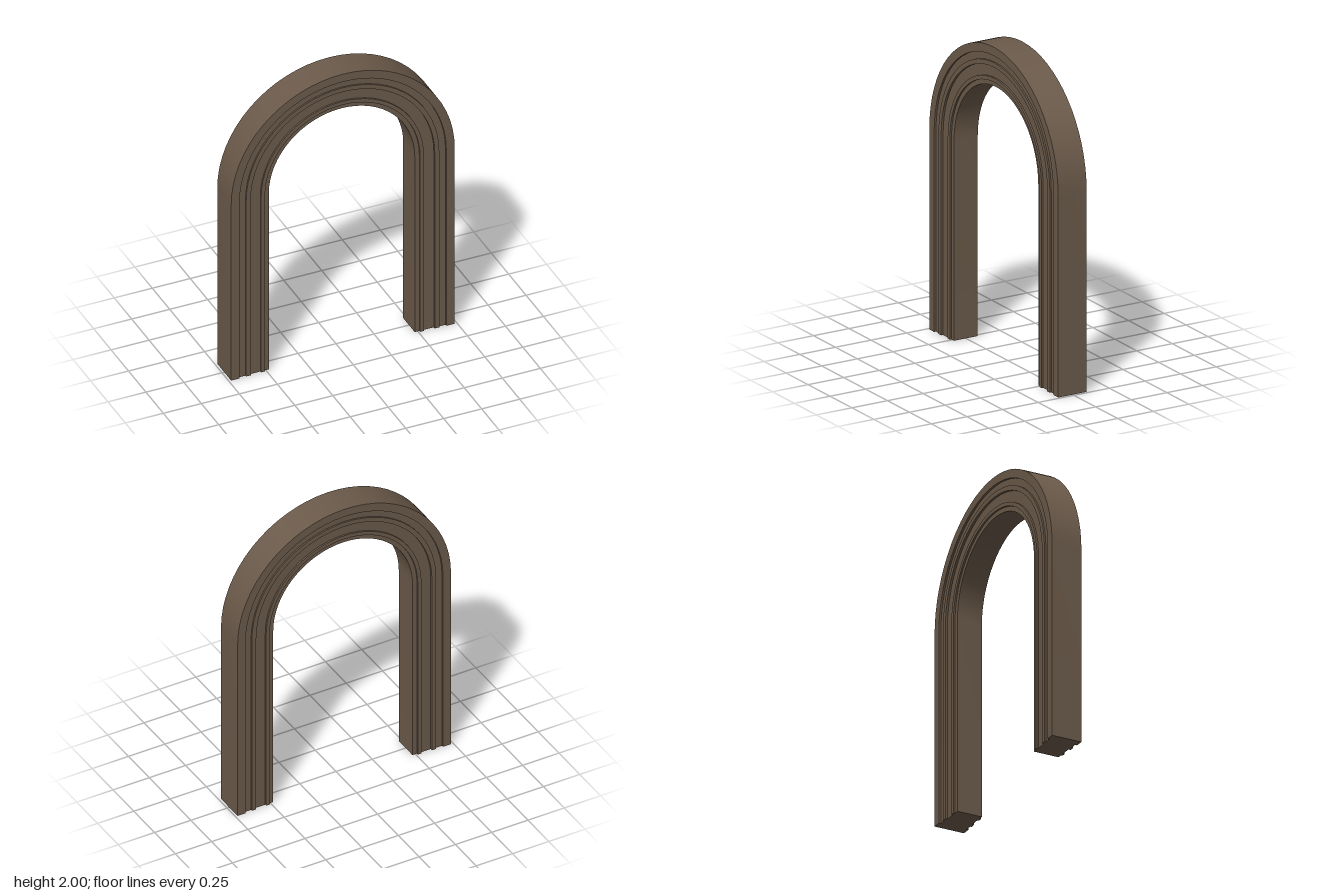
import * as THREE from 'three';
import { toCreasedNormals } from 'three/addons/utils/BufferGeometryUtils.js';

const SPRING = 1.265; // height where the legs meet the curve
const SEGMENTS = 32;

// Moulding bands from the outer edge inward: [outer radius, inner radius, half depth]
const BANDS = [
  [0.735, 0.68, 0.1],
  [0.68, 0.635, 0.087],
  [0.635, 0.605, 0.097],
  [0.605, 0.535, 0.083],
  [0.535, 0.51, 0.094],
  [0.51, 0.48, 0.083],
];

// Stepped cross-section (radius, z), the same on front and back
function mouldingSection() {
  const front = [];
  for (const [outer, inner, z] of BANDS) {
    front.push(new THREE.Vector2(outer, z), new THREE.Vector2(inner, z));
  }
  const back = front.map((p) => new THREE.Vector2(p.x, -p.y)).reverse();
  return [...front, ...back];
}

// Sweep the section up one leg, around the half circle and down the other leg
function sweepArch(section) {
  const stations = [{ angle: 0, y: 0 }];
  for (let i = 0; i <= SEGMENTS; i++) {
    stations.push({ angle: (Math.PI * i) / SEGMENTS, y: SPRING });
  }
  stations.push({ angle: Math.PI, y: 0 });

  const n = section.length;
  const positions = [];
  const index = [];
  for (const { angle, y } of stations) {
    for (const p of section) {
      positions.push(p.x * Math.cos(angle), y + p.x * Math.sin(angle), p.y);
    }
  }
  for (let i = 0; i < stations.length - 1; i++) {
    for (let j = 0; j < n; j++) {
      const k = (j + 1) % n;
      const a = i * n + j, b = i * n + k;
      const c = b + n, d = a + n;
      index.push(a, d, c, a, c, b);
    }
  }
  // Flat feet under both legs
  const last = (stations.length - 1) * n;
  for (const [a, b, c] of THREE.ShapeUtils.triangulateShape(section, [])) {
    index.push(a, b, c, last + a, last + c, last + b);
  }

  const geometry = new THREE.BufferGeometry();
  geometry.setAttribute('position', new THREE.Float32BufferAttribute(positions, 3));
  geometry.setIndex(index);
  return toCreasedNormals(geometry, Math.PI / 6);
}

export function createModel() {
  const group = new THREE.Group();
  group.name = 'archway';
  const brown = new THREE.MeshStandardMaterial({ color: 0x6b5a4a });
  brown.name = 'brown';

  const frame = new THREE.Mesh(sweepArch(mouldingSection()), brown);
  frame.name = 'mouldedArchFrame';
  group.add(frame);
  return group;
}
